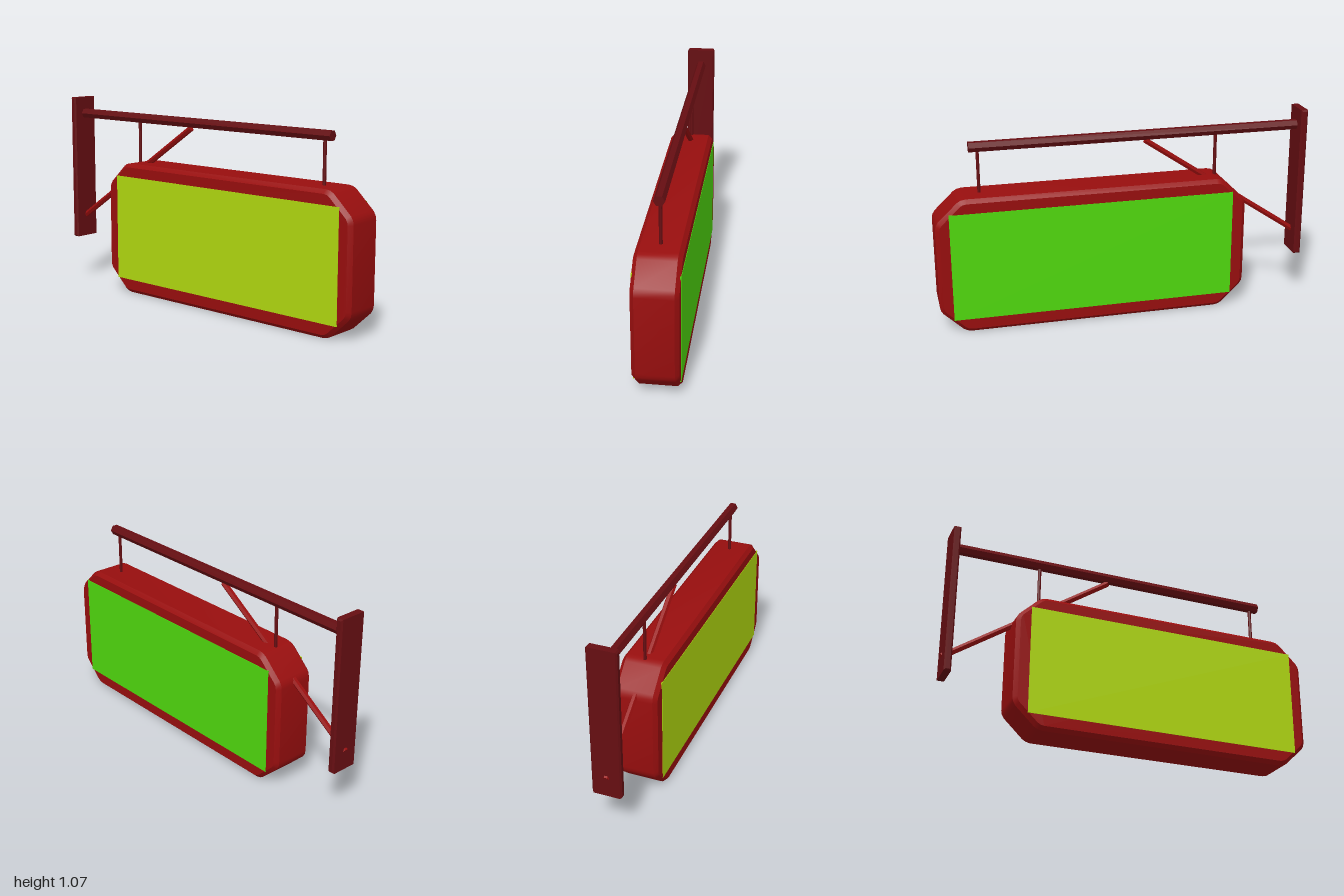
import * as THREE from 'three';
import { toCreasedNormals } from 'three/addons/utils/BufferGeometryUtils.js';

const mat = (name, color) => {
  const m = new THREE.MeshStandardMaterial({ color });
  m.name = name;
  return m;
};

export function createModel() {
  const group = new THREE.Group();
  const red = mat('red casing', 0x980e0e);
  const dark = mat('dark red metal', 0x660e12);
  const green = mat('green panel', 0x50d80e);
  const olive = mat('yellow green panel', 0xb0d810);

  const add = (name, geometry, material, x = 0, y = 0, z = 0) => {
    const mesh = new THREE.Mesh(geometry, material);
    mesh.name = name;
    mesh.position.set(x, y, z);
    group.add(mesh);
    return mesh;
  };

  // Bevelled slab from a (z, y) outline, centred on x = 0
  const slab = (points, width, bevel) => {
    const shape = new THREE.Shape(points.map(([z, y]) => new THREE.Vector2(-z, y)));
    const g = new THREE.ExtrudeGeometry(shape, {
      depth: width - 2 * bevel, bevelEnabled: true, bevelThickness: bevel,
      bevelSize: bevel, bevelOffset: -bevel, bevelSegments: 1,
    });
    g.translate(0, 0, -width / 2 + bevel);
    g.rotateY(Math.PI / 2);
    return toCreasedNormals(g, 0.5);
  };

  // Six-sided bar between two points in the x = 0 plane
  const bar = (name, [z0, y0], [z1, y1], radius, material) => {
    const a = new THREE.Vector3(0, y0, z0), b = new THREE.Vector3(0, y1, z1);
    const g = toCreasedNormals(new THREE.CylinderGeometry(radius, radius, a.distanceTo(b), 6), 0.5);
    g.rotateY(Math.PI / 6 * 3); // ridge on each side
    const mesh = add(name, g, material);
    mesh.position.copy(a).add(b).multiplyScalar(0.5);
    mesh.quaternion.setFromUnitVectors(new THREE.Vector3(0, 1, 0), b.sub(a).normalize());
  };

  // Casing with softened cut corners
  const midZ = 0.1775, midY = 0.365, halfZ = 0.8225, halfY = 0.365;
  const corner = [[0, 0.155], [0.004, 0.132], [0.016, 0.112], [0.115, 0.017], [0.135, 0.005], [0.16, 0]];
  const outline = [];
  for (const [sz, sy] of [[1, 1], [-1, 1], [-1, -1], [1, -1]]) {
    const pts = corner.map(([dz, dy]) => [midZ + sz * (halfZ - dz), midY + sy * (halfY - dy)]);
    outline.push(...(sz * sy > 0 ? pts : pts.reverse()));
  }
  add('casing', slab(outline, 0.229, 0.02), red);

  // Display panels, one on each broad side
  for (const [name, s, m] of [['leftPanel', 1, green], ['rightPanel', -1, olive]]) {
    add(name, new THREE.BoxGeometry(0.006, 0.58, 1.5), m, s * 0.1135, 0.367, 0.18);
  }

  // Wall plate
  add('wallPlate', slab([[-0.953, 0.25], [-0.953, 1.066], [-0.99, 1.066], [-0.99, 0.25]], 0.154, 0.008), dark);

  // Arm, brace and hangers
  bar('arm', [-0.96, 0.973], [0.805, 0.973], 0.028, dark);
  bar('brace', [-0.991, 0.352], [-0.115, 0.943], 0.016, red);
  for (const z of [0.76, -0.5]) bar('hanger', [z, 0.71], [z, 0.96], 0.009, dark);

  return group;
}
